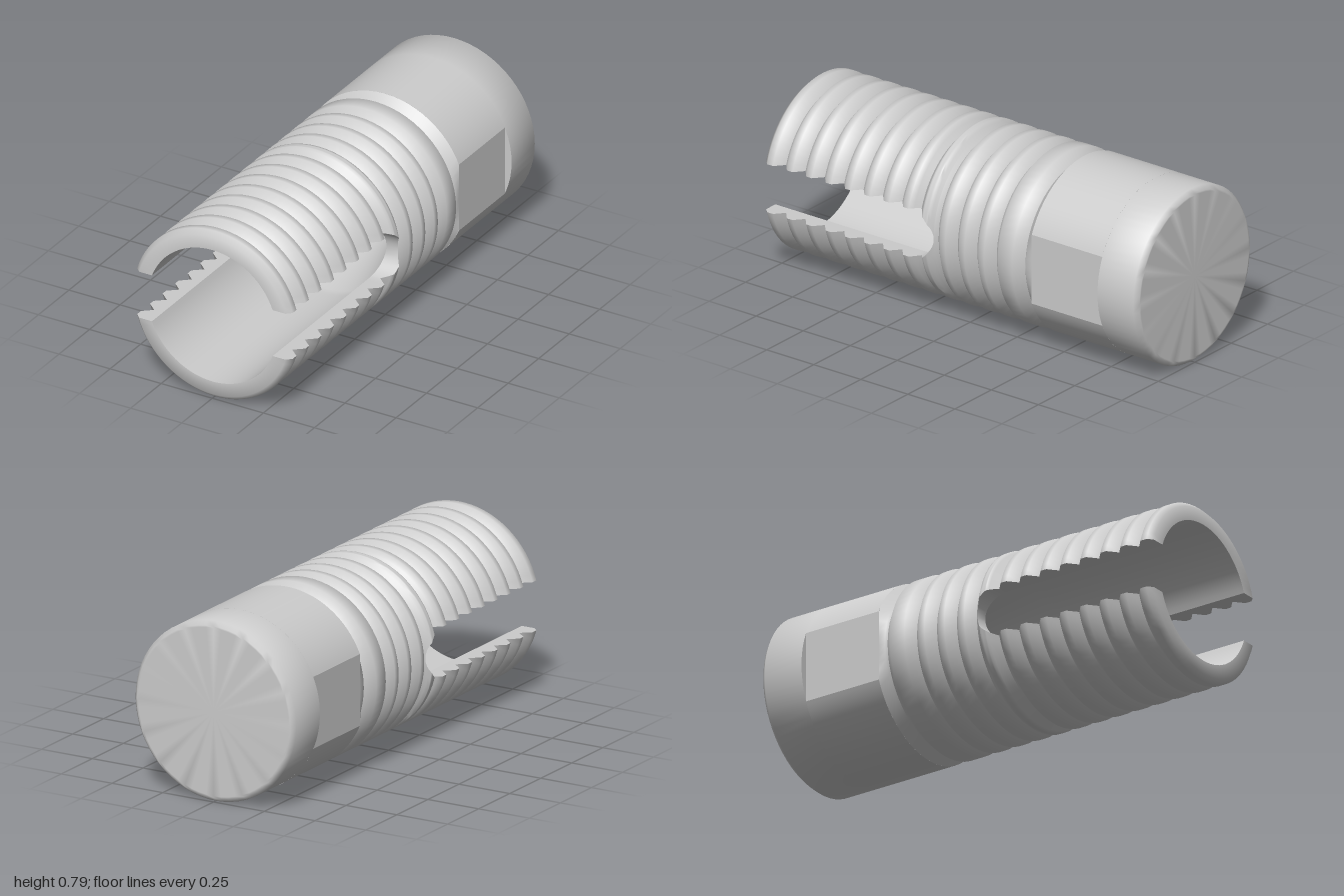
import * as THREE from 'three';
import { mergeGeometries, toCreasedNormals } from 'three/addons/utils/BufferGeometryUtils.js';

const R = 0.396, BORE = 0.315, FLAT = 0.363; // outer radius, bore radius, flat distance
const SLOT = 0.11, SLOT_END = 0.1;           // slot half-height and closed end
const SIDES = 64, HALF = SIDES / 2;

// Outer profile: [z, radius] from the relief groove to the open end
function threadProfile() {
  const p = [[-0.415, R], [-0.383, FLAT], [-0.375, 0.355], [-0.335, R]];
  for (let k = 11; k >= 0; k--) {
    const z = 0.91 - 0.103 * k;
    p.push([z - 0.037, R], [z, 0.355], [z + 0.037, R]);
  }
  p.push([0.978, R], [1, 0.375]);
  return p;
}
const profile = threadProfile();

function radiusAt(z) {
  const i = Math.max(1, profile.findIndex((p) => p[0] >= z - 1e-9));
  const [z0, r0] = profile[i - 1], [z1, r1] = profile[i];
  return r0 + (r1 - r0) * (z - z0) / (z1 - z0);
}

// Half-height of the slot, with a round closed end
function slotAt(z) {
  const d = Math.max(0, SLOT_END + SLOT - z);
  return Math.sqrt(Math.max(0, SLOT * SLOT - d * d));
}

// One prong: closed C-shaped cross-sections skinned along z
function prongGeometry() {
  const zs = profile.map((p) => p[0]).filter((z) => z > SLOT_END + 0.001);
  for (let i = 0; i <= 10; i++) zs.push(SLOT_END + SLOT * (1 - Math.cos(i / 10 * Math.PI / 2)));
  zs.sort((a, b) => a - b);
  const pos = [], index = [], n = 2 * (HALF + 1);
  for (const z of zs) {
    const h = slotAt(z);
    for (let i = 0; i < n; i++) {
      const outer = i <= HALF;
      const r = outer ? radiusAt(z) : BORE;
      const t = (outer ? i : n - 1 - i) / HALF;
      const a = Math.asin(h / r);
      const angle = a + t * (Math.PI - 2 * a);
      pos.push(r * Math.cos(angle), r * Math.sin(angle), z);
    }
  }
  const quad = (a, b, c, d) => index.push(a, b, c, a, c, d);
  for (let j = 0; j < zs.length - 1; j++) {
    for (let i = 0; i < n; i++) {
      const k = (i + 1) % n;
      quad(j * n + i, j * n + k, (j + 1) * n + k, (j + 1) * n + i);
    }
  }
  // Rim at the open end
  const top = (zs.length - 1) * n;
  for (let i = 0; i < HALF; i++) quad(top + i, top + i + 1, top + n - 2 - i, top + n - 1 - i);
  const g = new THREE.BufferGeometry();
  g.setAttribute('position', new THREE.Float32BufferAttribute(pos, 3));
  g.setIndex(index);
  return g;
}

// Surface of revolution about z from [z, radius] pairs
function revolve(points) {
  const g = new THREE.LatheGeometry(points.map(([z, r]) => new THREE.Vector2(r, z)), SIDES);
  g.rotateX(Math.PI / 2);
  g.deleteAttribute('uv');
  g.deleteAttribute('normal');
  return g;
}

export function createModel() {
  const group = new THREE.Group();
  const sleeve = new THREE.Group();
  sleeve.name = 'threadedSleeve';
  sleeve.position.y = 0.397;
  group.add(sleeve);
  const material = new THREE.MeshStandardMaterial({ color: 0xcccccc });
  const add = (name, geometry, crease = 1) => {
    const mesh = new THREE.Mesh(toCreasedNormals(geometry, crease), material);
    mesh.name = name;
    sleeve.add(mesh);
  };

  // Threaded part: two slotted prongs on a full ring, flats cut into its rear cone
  const stem = revolve([...profile.filter((p) => p[0] < SLOT_END), [SLOT_END, radiusAt(SLOT_END)]]);
  const p = stem.attributes.position;
  for (let i = 0; i < p.count; i++) {
    if (p.getZ(i) < -0.38) p.setX(i, THREE.MathUtils.clamp(p.getX(i), -FLAT, FLAT));
  }
  add('threadedShell', mergeGeometries([prongGeometry(), prongGeometry().rotateZ(Math.PI), stem]));

  // Blind end of the bore, tapering to a flat floor
  add('boreEnd', revolve([[SLOT_END, BORE], [0.06, BORE], [-0.3, 0.188], [-0.3, 0]]), 0.6);

  // Body with a wrench flat on each side
  const a = Math.acos(FLAT / R);
  const section = new THREE.Shape();
  section.absarc(0, 0, R, a, Math.PI - a, false);
  section.absarc(0, 0, R, Math.PI + a, 2 * Math.PI - a, false);
  section.closePath();
  const body = new THREE.ExtrudeGeometry(section, { depth: 0.375, bevelEnabled: false, curveSegments: 32 });
  body.translate(0, 0, -0.79);
  add('flattedBody', body, 0.3);

  // Solid rear collar with a chamfered rim
  add('rearCollar', revolve([[-1, 0], [-1, 0.37], [-1, 0.378], [-0.98, R], [-0.79, R], [-0.79, 0]]));
  return group;
}
